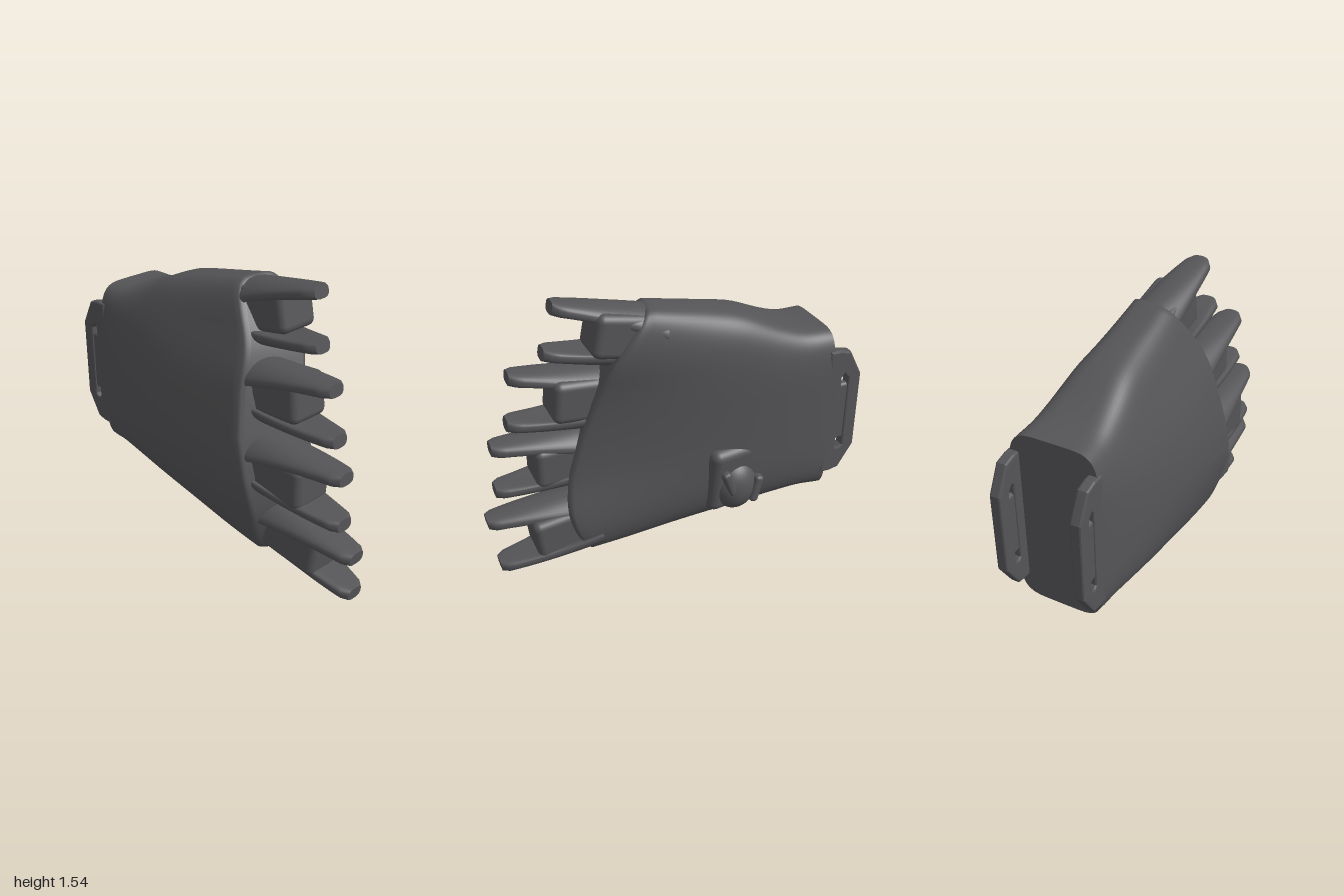
import * as THREE from 'three';
import { RoundedBoxGeometry } from 'three/addons/geometries/RoundedBoxGeometry.js';

const graphite = new THREE.MeshStandardMaterial({ color: 0x555558 });
graphite.name = 'graphite';
const { lerp, smoothstep } = THREE.MathUtils;

// Smooth interpolation through [key, value] pairs
function curve(pairs) {
  return (k) => {
    const n = pairs.length;
    if (k <= pairs[0][0]) return pairs[0][1];
    if (k >= pairs[n - 1][0]) return pairs[n - 1][1];
    const i = pairs.findIndex((p) => p[0] > k) - 1;
    const slope = (a, b) => (pairs[b][1] - pairs[a][1]) / (pairs[b][0] - pairs[a][0]);
    const m0 = slope(Math.max(i - 1, 0), i + 1), m1 = slope(i, Math.min(i + 2, n - 1));
    const h = pairs[i + 1][0] - pairs[i][0], s = (k - pairs[i][0]) / h;
    const s2 = s * s, s3 = s2 * s;
    return (2 * s3 - 3 * s2 + 1) * pairs[i][1] + (s3 - 2 * s2 + s) * h * m0
      + (3 * s2 - 2 * s3) * pairs[i + 1][1] + (s3 - s2) * h * m1;
  };
}

const topY = curve([[0, 1.205], [0.12, 1.215], [0.23, 1.255], [0.43, 1.345], [0.58, 1.385], [1, 1.465]]);
const bottomY = curve([[0, 0.23], [0.12, 0.235], [0.5, 0.14], [0.8, 0.08], [1, 0.05]]);
const squareness = curve([[0, 5.5], [0.3, 4], [0.6, 3.4], [1, 4]]);
const knuckleZ = curve([[0.05, 0.5], [0.3, 0.57], [0.5, 0.56], [0.75, 0.5], [1, 0.42], [1.2, 0.34], [1.46, 0.17]]);
const knuckleX = curve([[0.05, -0.05], [0.2, -0.07], [0.6, -0.125], [1, -0.06], [1.25, 0.018], [1.46, 0.055]]);
const signedPow = (v, p) => Math.sign(v) * Math.pow(Math.abs(v), p);

// Palm shell: rings lofted from the straight wrist to the curved, slanted knuckle line
function palmGeometry() {
  const N = 72, rows = 25, pos = [], idx = [];
  const ring = (t, shrink) => {
    const u = Math.min(t, 1), bulge = Math.sin(Math.PI * Math.pow(u, 0.8)), p = 2 / squareness(u);
    const lo = bottomY(u), hi = topY(u), mid = (lo + hi) / 2, half = (hi - lo) / 2 - shrink;
    for (let j = 0; j < N; j++) {
      const a = -Math.PI / 2 + (j / N) * Math.PI * 2;
      const y = mid + half * signedPow(Math.sin(a), p);
      const side = signedPow(Math.cos(a), p), high = smoothstep(y, 0.75, 1.25);
      const cx = lerp(0.035, knuckleX(y), u * u * (1.6 - 0.6 * u)) + lerp(-0.022, 0.008, high) * bulge;
      const w = lerp(0.245, 0.182, u) - shrink + lerp(0.036, 0.012, high) * bulge;
      const end = knuckleZ(y) - lerp(0.14, 0.06, high) * (1 - side) / 2;
      pos.push(cx + w * side, y, lerp(-0.83, end, t));
    }
  };
  for (let i = 0; i < rows; i++) ring(i / (rows - 1), 0);
  ring(1.012, 0.012);
  ring(1.018, 0.03);
  const last = rows + 1;
  for (let i = 0; i < last; i++) for (let j = 0; j < N; j++) {
    const a = i * N + j, b = i * N + (j + 1) % N;
    idx.push(a, b, b + N, a, b + N, a + N);
  }
  // End faces joined straight across, with their own corners for crisp rims
  for (const front of [false, true]) {
    const base = pos.length / 3;
    if (front) ring(1.018, 0.03); else ring(0, 0);
    for (let j = 0; j < N / 2; j++) {
      const a = base + j, b = a + 1, c = base + N - j - 1, d = base + (N - j) % N;
      if (front) idx.push(a, b, c, a, c, d); else idx.push(a, c, b, a, d, c);
    }
  }
  const g = new THREE.BufferGeometry();
  g.setAttribute('position', new THREE.Float32BufferAttribute(pos, 3));
  g.setIndex(idx);
  g.computeVertexNormals();
  return g;
}

// Prong with its tip at the origin: widens towards -z and curls round the
// finger socket there; side is 1 for an upper prong, -1 for a lower one
function prongGeometry(length, baseWidth, drift, side) {
  const g = new THREE.CylinderGeometry(1, 1, 1, 32, 16);
  g.rotateX(Math.PI / 2);
  const p = g.attributes.position;
  for (let i = 0; i < p.count; i++) {
    const s = 0.5 - p.getZ(i), r = Math.hypot(p.getX(i), p.getY(i));
    const round = s < 0.01 ? 0.72 : 1;
    const w = lerp(0.066, baseWidth / 2, Math.pow(s, 0.8)) * round;
    const x = r * w * signedPow(r && p.getX(i) / r, 0.7);
    const h = 0.034 + 0.006 * s;
    const y = r * h * signedPow(r && p.getY(i) / r, 0.7);
    p.setXYZ(i, x + drift * s, y - side * (0.6 + 2.6 * s) * x * x, -s * length);
  }
  g.computeVertexNormals();
  return g;
}

function add(parent, name, geometry, x = 0, y = 0, z = 0) {
  const m = new THREE.Mesh(geometry, graphite);
  m.name = name;
  m.position.set(x, y, z);
  parent.add(m);
  return m;
}

// Wrist lug: chamfered plate with a slot, plus the strap bar inside it
function wristLug(parent, name, x) {
  const lug = new THREE.Group();
  lug.name = name;
  const outline = [[-0.815, 1.09], [-0.86, 1.09], [-0.92, 1.075], [-0.99, 0.94], [-0.99, 0.5], [-0.91, 0.37], [-0.86, 0.36], [-0.815, 0.36]];
  const s = new THREE.Shape(outline.map(([z, y]) => new THREE.Vector2(-z, y)));
  const slot = [[0.875, 0.5], [0.9, 0.48], [0.935, 0.5], [0.935, 0.93], [0.9, 0.97], [0.875, 0.94]];
  s.holes.push(new THREE.Path(slot.map(([z, y]) => new THREE.Vector2(z, y))));
  const g = new THREE.ExtrudeGeometry(s, { depth: 0.04, bevelEnabled: true, bevelSize: 0.01, bevelThickness: 0.01, bevelSegments: 2 });
  g.translate(0, 0, -0.02);
  g.rotateY(Math.PI / 2);
  add(lug, 'lugPlate', g);
  add(lug, 'strapBar', new RoundedBoxGeometry(0.045, 0.35, 0.07, 3, 0.02), 0, 0.72, -0.905);
  lug.position.x = x;
  parent.add(lug);
}

export function createModel() {
  const model = new THREE.Group();
  model.name = 'mechanicalPalm';
  add(model, 'palmShell', palmGeometry());

  // Finger forks: tips as [x, y, z, slope], web as [x, y, z of its face]
  const forks = [
    { name: 'firstFork', upper: [0, 1.513, 0.61, 0.2], lower: [-0.03, 1.265, 0.66, 0.2], web: [0.04, 1.34, 0.44], drift: 0.05 },
    { name: 'secondFork', upper: [-0.11, 1.125, 0.82, 0.09], lower: [-0.1, 0.87, 0.85, 0.1], web: [-0.065, 0.98, 0.63], drift: 0.04 },
    { name: 'thirdFork', upper: [-0.14, 0.72, 0.935, 0], lower: [-0.135, 0.465, 0.935, 0], web: [-0.13, 0.59, 0.73], drift: 0.01 },
    { name: 'fourthFork', upper: [-0.11, 0.295, 1, -0.12], lower: [-0.06, 0.04, 0.965, -0.12], web: [-0.06, 0.205, 0.78], drift: 0.03 },
  ];
  for (const f of forks) {
    const fork = new THREE.Group();
    fork.name = f.name;
    for (const [key, side] of [['upper', 1], ['lower', -1]]) {
      const [x, y, z, slope] = f[key];
      const prong = add(fork, key + 'Prong', prongGeometry(0.55, 0.3, f.drift, side), x, y, z);
      prong.rotation.x = -Math.atan(slope);
    }
    const web = add(fork, 'web', new RoundedBoxGeometry(0.235, 0.23, 0.36, 4, 0.04), f.web[0], f.web[1], f.web[2] - 0.18);
    web.rotation.x = -Math.atan(f.upper[3]);
    model.add(fork);
  }

  wristLug(model, 'rightWristLug', -0.18);
  wristLug(model, 'leftWristLug', 0.248);

  // Thumb mount: low housing, rounded socket and two small ears
  const thumb = new THREE.Group();
  thumb.name = 'thumbMount';
  const housing = add(thumb, 'housing', new RoundedBoxGeometry(0.14, 0.4, 0.3, 4, 0.05), 0.17, 0.43, -0.29);
  housing.rotation.set(0, 0.12, -0.12);
  const ball = add(thumb, 'socket', new THREE.SphereGeometry(1, 28, 18), 0.2, 0.375, -0.305);
  ball.scale.set(0.1, 0.15, 0.125);
  for (const [y, z, tilt] of [[0.43, -0.24, 0.35], [0.36, -0.4, -0.25]]) {
    const ear = add(thumb, 'ear', new RoundedBoxGeometry(0.09, 0.16, 0.05, 3, 0.02), 0.25, y, z);
    ear.rotation.x = tilt;
  }
  model.add(thumb);

  return model;
}
